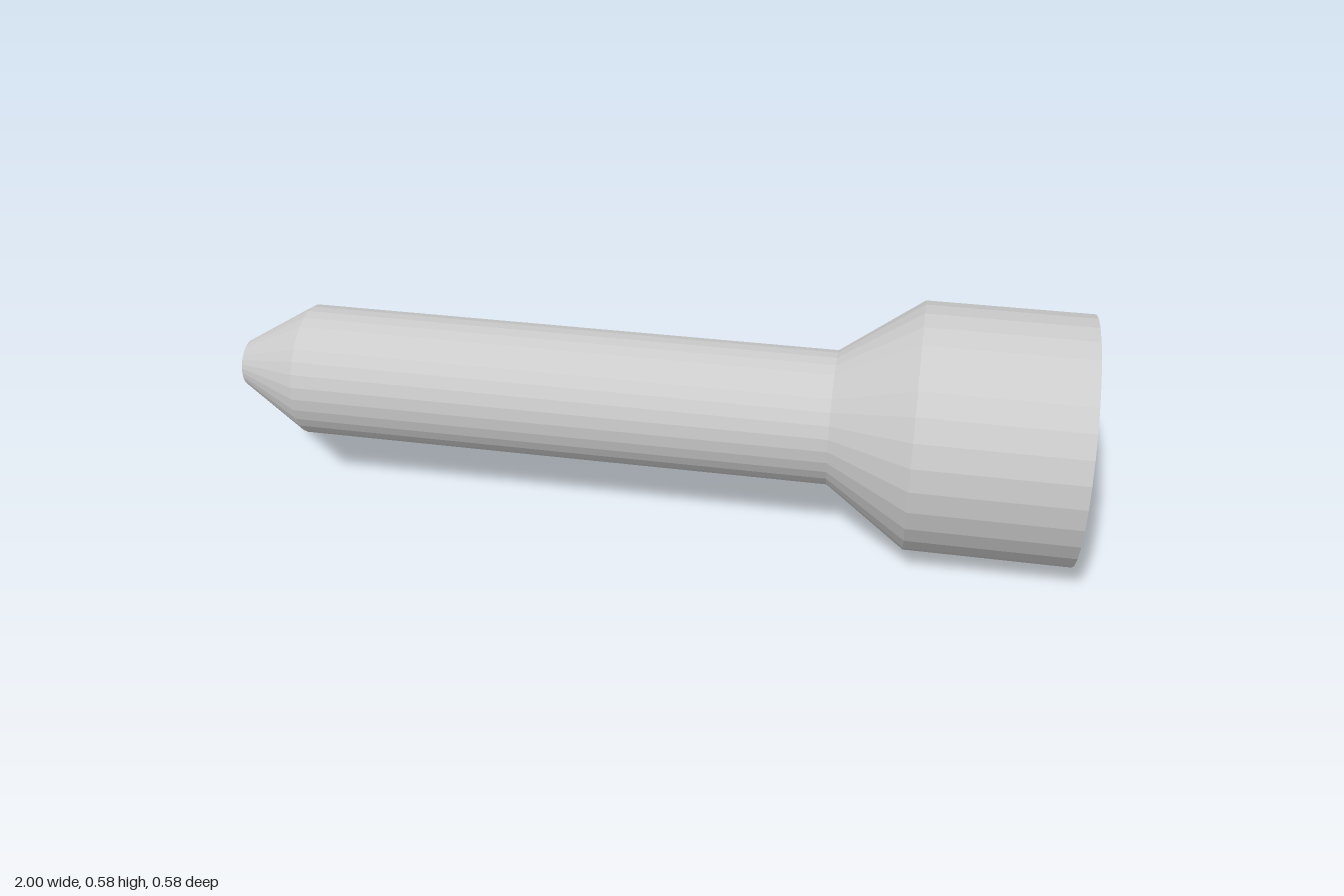
import * as THREE from 'three';

const SIDES = 32;
const AXIS_Y = 0.288;

// Revolves [x, radius] pairs about the horizontal x axis
function turned(name, profile, material) {
  const points = profile.map(([x, r]) => new THREE.Vector2(r, x));
  const geometry = new THREE.LatheGeometry(points, SIDES);
  geometry.rotateZ(-Math.PI / 2);
  geometry.translate(0, AXIS_Y, 0);
  const mesh = new THREE.Mesh(geometry, material);
  mesh.name = name;
  return mesh;
}

export function createModel() {
  const group = new THREE.Group();
  group.name = 'socketPin';
  const material = new THREE.MeshStandardMaterial({ color: 0xcccccc, flatShading: true });

  // Solid shaft with a blunt tapered tip
  group.add(turned('shaft', [
    [-1, 0], [-1, 0.055], [-0.833, 0.157], [0.435, 0.157],
  ], material));

  // Flared cup: outer flare and wall, rim, bore, conical seat and flat floor
  group.add(turned('socket', [
    [0.435, 0.157], [0.622, 0.288], [1, 0.288],
    [1, 0.231], [0.63, 0.231], [0.475, 0.122], [0.475, 0],
  ], material));

  return group;
}
